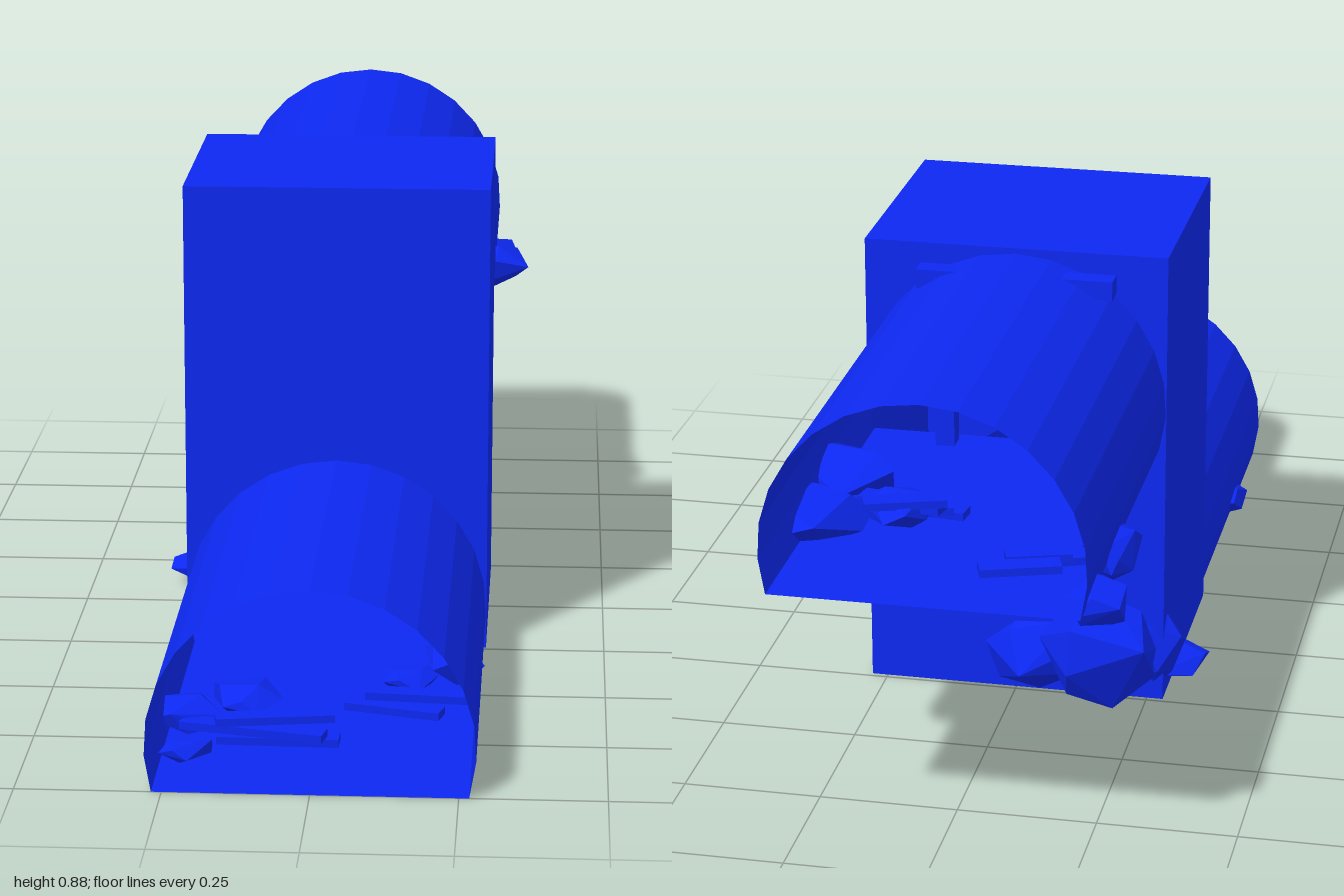
import * as THREE from 'three';
import { ConvexGeometry } from 'three/addons/geometries/ConvexGeometry.js';

const R = 0.28, RISE = 0.08, W = 0.28, H = 0.875, D = 0.24, UPPER = 0.505;

const material = new THREE.MeshStandardMaterial({
  color: 0x0d28f0, flatShading: true, side: THREE.DoubleSide,
});

function add(parent, name, geometry, x = 0, y = 0, z = 0) {
  const mesh = new THREE.Mesh(geometry, material);
  mesh.name = name;
  mesh.position.set(x, y, z);
  parent.add(mesh);
  return mesh;
}

// Horseshoe arch outline from the right foot over the crown to the left foot
function archPoints(floor, n = 16) {
  const start = -Math.asin(RISE / R), sweep = Math.PI - 2 * start, pts = [];
  for (let i = 0; i <= n; i++) {
    const a = start + (sweep * i) / n;
    pts.push(new THREE.Vector2(R * 0.997 * Math.cos(a), floor + RISE + R * Math.sin(a)));
  }
  pts[0].y = pts[n].y = floor;
  return pts;
}

// Open-ended tube: arch swept along z, closed by its floor strip
function tunnelGeometry(floor, z0, z1) {
  const pts = archPoints(floor), position = [], index = [], n = pts.length;
  for (const p of pts) position.push(p.x, p.y, z0, p.x, p.y, z1);
  for (let i = 0; i < n; i++) {
    const a = 2 * i, b = 2 * ((i + 1) % n);
    index.push(a, b, a + 1, b, b + 1, a + 1);
  }
  const g = new THREE.BufferGeometry();
  g.setAttribute('position', new THREE.Float32BufferAttribute(position, 3));
  g.setIndex(index);
  const flat = g.toNonIndexed();
  flat.computeVertexNormals();
  return flat;
}

function seeded(seed) {
  let s = seed * 7919 + 17;
  return () => (s = (s * 16807) % 2147483647) / 2147483647;
}

// Angular boulder stretched to fill the box from lo to hi
function rock(parent, lo, hi, seed, count = 13) {
  const rand = seeded(seed), pts = [];
  rand(); rand();
  for (let i = 0; i < count; i++) {
    const y = 1 - (2 * (i + 0.5)) / count, a = i * 2.4 + rand() * 1.2;
    const r = Math.sqrt(1 - y * y), k = 0.75 + 0.25 * rand();
    pts.push(new THREE.Vector3(r * Math.cos(a) * k, y * k, r * Math.sin(a) * k));
  }
  const box = new THREE.Box3().setFromPoints(pts);
  const size = box.getSize(new THREE.Vector3());
  const min = new THREE.Vector3(...lo), span = new THREE.Vector3(...hi).sub(min);
  for (const p of pts) p.sub(box.min).divide(size).multiply(span).add(min);
  add(parent, 'rock', new ConvexGeometry(pts));
}

// Stack of loose boards lying at slightly different angles
function planks(parent, x, y, z, count, length, seed) {
  const rand = seeded(seed);
  rand(); rand();
  for (let i = 0; i < count; i++) {
    const m = add(parent, 'plank', new THREE.BoxGeometry(length * (0.7 + 0.3 * rand()), 0.014, 0.04),
      x + (rand() - 0.5) * 0.06, y + 0.012 + i * 0.014, z + (rand() - 0.5) * 0.14);
    m.rotation.y = (rand() - 0.5) * 0.8;
  }
}

function group(parent, name) {
  const g = new THREE.Group();
  g.name = name;
  parent.add(g);
  return g;
}

export function createModel() {
  const model = new THREE.Group();
  model.name = 'tunnelSection';

  // Hollow shaft: plain sides, and end walls pierced by the tunnels
  const shaft = group(model, 'shaft');
  for (const s of [-1, 1]) {
    add(shaft, 'sideWall', new THREE.PlaneGeometry(2 * D, H), s * W, H / 2, 0).rotation.y = s * Math.PI / 2;
  }
  add(shaft, 'floor', new THREE.PlaneGeometry(2 * W, 2 * D)).rotation.x = Math.PI / 2;
  add(shaft, 'ceiling', new THREE.PlaneGeometry(2 * W, 2 * D), 0, H, 0).rotation.x = -Math.PI / 2;
  const v = (x, y) => new THREE.Vector2(x, y);
  const front = new THREE.Shape([v(W, 0), v(W, H), v(-W, H), v(-W, 0), ...archPoints(0).reverse()]);
  add(shaft, 'frontWall', new THREE.ShapeGeometry(front), 0, 0, D);
  const back = new THREE.Shape([v(-W, 0), v(W, 0), v(W, H), v(-W, H)]);
  back.holes.push(new THREE.Path(archPoints(UPPER)));
  add(shaft, 'backWall', new THREE.ShapeGeometry(back), 0, 0, -D).material = material;

  // Lower passage to the front, upper passage to the back
  add(model, 'lowerTunnel', tunnelGeometry(0, D, 1));
  add(model, 'upperTunnel', tunnelGeometry(UPPER, -1, -D));

  // Timber frame where the upper passage leaves the shaft
  const frame = group(model, 'timberFrame');
  add(frame, 'beam', new THREE.BoxGeometry(0.36, 0.035, 0.04), -0.01, 0.828, -0.285);
  for (const s of [-1, 1]) {
    add(frame, 'post', new THREE.BoxGeometry(0.035, 0.33, 0.04), s * 0.12, 0.65, -0.28);
  }

  // Rock fall in the corner of the shaft
  const pile = group(model, 'shaftRubble');
  rock(pile, [-0.27, 0, -0.36], [-0.05, 0.228, -0.12], 3);
  rock(pile, [-0.15, 0, -0.32], [0.06, 0.15, -0.1], 5);
  rock(pile, [-0.31, 0, -0.27], [-0.18, 0.17, -0.1], 8);
  rock(pile, [-0.345, 0, -0.2], [-0.2, 0.07, -0.04], 11);
  rock(pile, [-0.06, 0, -0.2], [0.11, 0.12, 0], 14);

  // Debris in the lower passage
  const low = group(model, 'lowerRubble');
  rock(low, [-0.295, 0, 0.62], [-0.17, 0.06, 0.74], 21);
  rock(low, [-0.2, 0, 0.55], [-0.07, 0.06, 0.68], 23);
  rock(low, [-0.27, 0, 0.8], [-0.18, 0.03, 0.88], 24);
  rock(low, [0.17, 0, 0.34], [0.282, 0.065, 0.48], 26);
  rock(low, [0.1, 0, 0.42], [0.2, 0.035, 0.52], 27);
  planks(low, -0.1, 0, 0.7, 3, 0.26, 4);
  planks(low, 0.14, 0, 0.55, 2, 0.2, 9);

  // Debris in the upper passage, breaking through the walls in places
  const high = group(model, 'upperRubble');
  rock(high, [0.15, 0.505, -0.64], [0.345, 0.59, -0.48], 31);
  rock(high, [0.16, 0.49, -0.81], [0.325, 0.57, -0.62], 33);
  rock(high, [0.06, 0.505, -0.74], [0.19, 0.57, -0.6], 35);
  rock(high, [-0.305, 0.452, -0.77], [-0.2, 0.54, -0.6], 37);
  rock(high, [-0.33, 0.465, -0.96], [-0.22, 0.54, -0.84], 39);
  planks(high, 0.12, UPPER, -0.68, 4, 0.2, 6);
  planks(high, -0.17, UPPER, -0.84, 3, 0.14, 12);

  return model;
}
